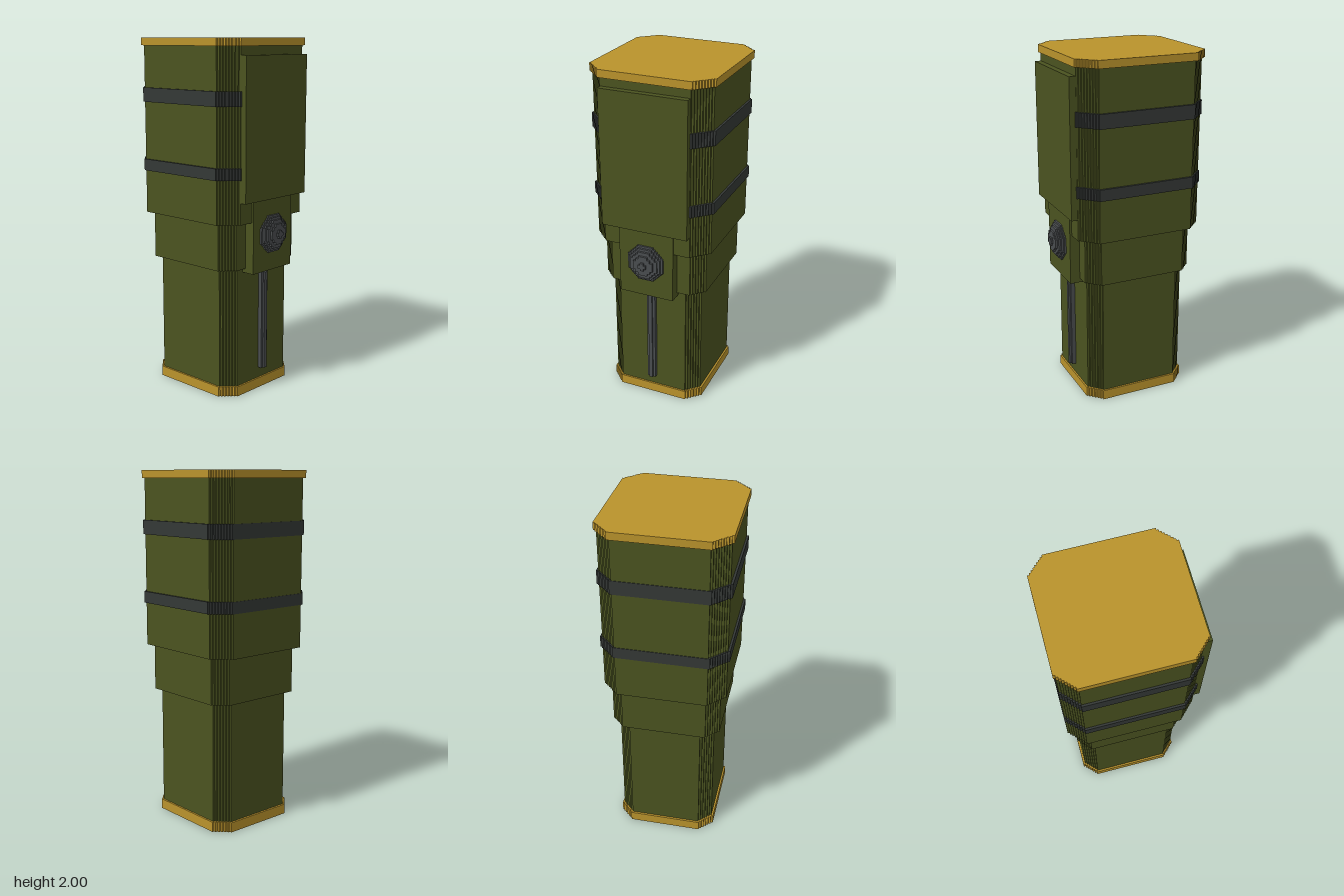
import * as THREE from 'three';

const mat = (name, color) => {
  const m = new THREE.MeshStandardMaterial({ color });
  m.name = name;
  return m;
};

// Rectangle outline whose four corners are cut by small square steps
function steppedShape(w, d, cut, steps) {
  const s = cut / steps, corner = [];
  for (let i = 0; i < steps; i++) {
    const x = w - i * s, y = d - cut + i * s;
    corner.push([x, y], [x - s, y]);
  }
  corner.push([w - cut, d]);
  const flip = (sx, sy) => corner.map(([x, y]) => new THREE.Vector2(x * sx, y * sy));
  return new THREE.Shape([
    ...flip(1, 1), ...flip(-1, 1).reverse(), ...flip(-1, -1), ...flip(1, -1).reverse(),
  ]);
}

export function createModel() {
  const model = new THREE.Group();
  const green = mat('olive green', 0x4b5320);
  const gold = mat('gold', 0xba932c);
  const dark = mat('dark band', 0x343836);
  const metal = mat('grey metal', 0x4a4d4f);

  const add = (name, geometry, material, parent = model) => {
    const mesh = new THREE.Mesh(geometry, material);
    mesh.name = name;
    parent.add(mesh);
    return mesh;
  };

  // Upright stepped prism between two heights and two depths
  const prism = (name, material, w, zBack, zFront, y0, y1, cut, steps) => {
    const shape = steppedShape(w, (zFront - zBack) / 2, cut, steps);
    const geo = new THREE.ExtrudeGeometry(shape, { depth: y1 - y0, bevelEnabled: false });
    geo.rotateX(-Math.PI / 2).translate(0, y0, (zBack + zFront) / 2);
    return add(name, geo, material);
  };

  // Box centred on x, given by its limits
  const block = (name, material, w, y0, y1, z0, z1, parent) => {
    const geo = new THREE.BoxGeometry(2 * w, y1 - y0, z1 - z0);
    geo.translate(0, (y0 + y1) / 2, (z0 + z1) / 2);
    return add(name, geo, material, parent);
  };

  // Casing, narrowing downward in three stages between gold caps
  prism('bottomCap', gold, 0.287, -0.337, 0.282, 0, 0.057, 0.075, 6);
  prism('lowerCasing', green, 0.276, -0.325, 0.272, 0.057, 0.745, 0.07, 6);
  prism('middleCollar', green, 0.31, -0.35, 0.295, 0.745, 1.01, 0.07, 6);
  prism('upperCasing', green, 0.345, -0.397, 0.339, 1.01, 1.957, 0.09, 8);
  prism('topCap', gold, 0.357, -0.41, 0.35, 1.957, 2, 0.092, 8);

  // Bands round the upper casing
  for (const [y0, y1] of [[1.255, 1.32], [1.645, 1.725]]) {
    prism('band', dark, 0.357, -0.4, 0.345, y0, y1, 0.092, 8);
  }

  // Raised front panel and the plate that carries the knob
  block('frontPanel', green, 0.253, 1.13, 1.91, 0.33, 0.375);
  block('knobPlate', green, 0.162, 0.72, 1.13, 0.265, 0.351);

  // Domed knob made of shrinking stepped octagons
  const knob = new THREE.Group();
  knob.name = 'knob';
  knob.position.set(0, 0.93, 0.345);
  model.add(knob);
  [[0.105, 0.017], [0.093, 0.029], [0.079, 0.041], [0.058, 0.053], [0.023, 0.065]].forEach(([r, depth], i) => {
    const shape = steppedShape(r, r, r * 0.55, Math.max(1, 5 - i));
    add('knobLayer', new THREE.ExtrudeGeometry(shape, { depth, bevelEnabled: false }), metal, knob);
  });

  // Ridged strip down the lower front
  const strip = new THREE.Group();
  strip.name = 'strip';
  model.add(strip);
  block('stripBase', metal, 0.025, 0.12, 0.695, 0.265, 0.296, strip);
  block('stripRidge', metal, 0.011, 0.12, 0.695, 0.265, 0.307, strip);

  return model;
}
